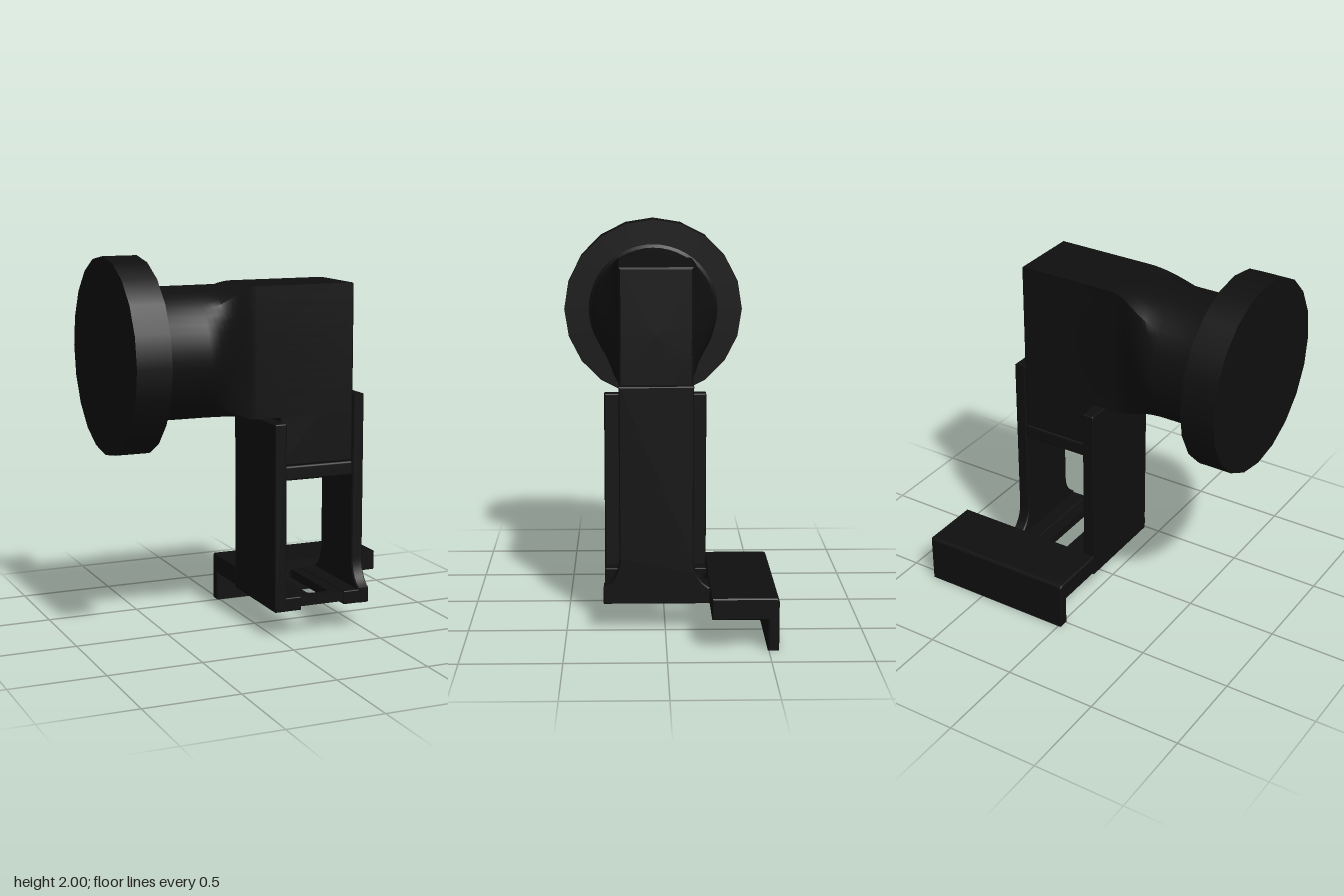
import * as THREE from 'three';
import { toCreasedNormals } from 'three/addons/utils/BufferGeometryUtils.js';
import { RoundedBoxGeometry } from 'three/addons/geometries/RoundedBoxGeometry.js';

const black = new THREE.MeshStandardMaterial({ color: 0x0f0f0f });
black.name = 'matte black';

const CY = 1.5, CZ = 0.045; // axis of the horn

export function createModel() {
  const model = new THREE.Group();
  const add = (name, geometry) => {
    const mesh = new THREE.Mesh(geometry, black);
    mesh.name = name;
    model.add(mesh);
    return mesh;
  };
  // rounded box from its limits
  const box = (name, x0, x1, y0, y1, z0, z1, r = 0.01) => {
    const g = new RoundedBoxGeometry(x1 - x0, y1 - y0, z1 - z0, 2, r);
    g.translate((x0 + x1) / 2, (y0 + y1) / 2, (z0 + z1) / 2);
    return add(name, g);
  };
  // side profile drawn as (-z, y), extruded from x0 to x1
  const sideProfile = (name, shape, x0, x1) => {
    const b = 0.006;
    const g = new THREE.ExtrudeGeometry(shape, {
      depth: x1 - x0 - 2 * b, curveSegments: 8,
      bevelThickness: b, bevelSize: b, bevelOffset: -b, bevelSegments: 1,
    });
    g.rotateY(Math.PI / 2);
    g.translate(x0 + b, 0, 0);
    return add(name, toCreasedNormals(g, 0.5));
  };

  // round front cap
  const cap = new THREE.CylinderGeometry(0.5, 0.5, 0.18, 20);
  cap.rotateZ(Math.PI / 2);
  cap.translate(-0.75, CY, CZ);
  add('hornCap', cap);

  // horn body: round neck blending into an upright rectangular housing
  add('hornBody', hornGeometry());

  // lower housing and its closing plate
  box('lowerHousing', 0.045, 0.462, 0.9, 1.4, -0.14, 0.23, 0.012);
  box('housingPlate', 0.045, 0.465, 0.822, 0.9, -0.14, 0.23, 0.012);

  // short full-width wall
  box('innerWall', -0.02, 0.046, 0.145, 1.14, -0.225, 0.312, 0.008);

  // tall wall, flared at the foot
  const tall = new THREE.Shape();
  tall.moveTo(-0.312, 0.145);
  tall.lineTo(0.225, 0.145);
  tall.lineTo(0.225, 0.225);
  tall.quadraticCurveTo(0.142, 0.27, 0.142, 0.38);
  tall.lineTo(0.142, 1.257);
  tall.lineTo(-0.232, 1.257);
  tall.lineTo(-0.232, 0.38);
  tall.quadraticCurveTo(-0.232, 0.27, -0.312, 0.225);
  tall.closePath();
  sideProfile('outerWall', tall, 0.462, 0.525);

  // base: two rails and a slotted floor between them
  box('baseRailInner', -0.02, 0.132, 0.145, 0.218, -0.225, 0.312, 0.006);
  box('baseRailOuter', 0.378, 0.525, 0.145, 0.218, -0.225, 0.312, 0.006);
  const floor = new THREE.Shape();
  floor.moveTo(0.125, -0.23);
  floor.lineTo(0.385, -0.23);
  floor.lineTo(0.385, 0.308);
  floor.lineTo(0.125, 0.308);
  floor.closePath();
  const slot = new THREE.Path();
  const [a, b, c, d, r] = [0.198, 0.316, -0.222, 0.25, 0.025];
  slot.moveTo(a + r, c);
  slot.lineTo(b - r, c);
  slot.quadraticCurveTo(b, c, b, c + r);
  slot.lineTo(b, d - r);
  slot.quadraticCurveTo(b, d, b - r, d);
  slot.lineTo(a + r, d);
  slot.quadraticCurveTo(a, d, a, d - r);
  slot.lineTo(a, c + r);
  slot.quadraticCurveTo(a, c, a + r, c);
  floor.holes.push(slot);
  const floorGeo = new THREE.ExtrudeGeometry(floor, { depth: 0.048, bevelEnabled: false, curveSegments: 4 });
  floorGeo.rotateX(Math.PI / 2);
  floorGeo.translate(0, 0.212, 0);
  add('slottedFloor', floorGeo);

  // rear mounting arm with a downturned lip
  const arm = new THREE.Shape();
  arm.moveTo(0.222, 0.157);
  arm.lineTo(0.495, 0.157);
  arm.lineTo(0.495, 0);
  arm.lineTo(0.55, 0);
  arm.lineTo(0.55, 0.245);
  arm.quadraticCurveTo(0.55, 0.265, 0.53, 0.265);
  arm.lineTo(0.222, 0.265);
  arm.closePath();
  sideProfile('mountingArm', arm, -0.02, 0.838);

  return model;
}

function hornGeometry() {
  const N = 48, R = 0.34;
  // [x, half height, half width, squareness]
  const rings = [
    [-0.67, 0.375, 0.375, 0], [-0.658, 0.36, 0.36, 0], [-0.645, 0.345, 0.345, 0], [-0.62, R, R, 0], [-0.4, R, R, 0],
  ];
  const steps = 10;
  for (let i = 1; i <= steps; i++) {
    const t = i / steps, s = t * t * (3 - 2 * t);
    rings.push([-0.4 + 0.32 * t, R, R + (0.186 - R) * s, s]);
  }
  rings.push([0.452, R, 0.186, 1], [0.462, R - 0.01, 0.176, 1]);

  const pos = [], idx = [];
  for (const [x, h, w, q] of rings) {
    for (let j = 0; j < N; j++) {
      const ang = (j / N) * Math.PI * 2, cs = Math.cos(ang), sn = Math.sin(ang);
      const k = 1 + q * (1 / Math.max(Math.abs(cs), Math.abs(sn)) - 1);
      pos.push(x, CY + h * sn * k, CZ + w * cs * k);
    }
  }
  for (let i = 0; i < rings.length - 1; i++) {
    for (let j = 0; j < N; j++) {
      const p = i * N + j, q = i * N + (j + 1) % N;
      idx.push(p, p + N, q, q, p + N, q + N);
    }
  }
  // flat rear end
  const last = (rings.length - 1) * N, centre = pos.length / 3;
  pos.push(0.462, CY, CZ);
  for (let j = 0; j < N; j++) idx.push(last + j, centre, last + (j + 1) % N);

  const g = new THREE.BufferGeometry();
  g.setAttribute('position', new THREE.Float32BufferAttribute(pos, 3));
  g.setIndex(idx);
  return toCreasedNormals(g, 0.6);
}
